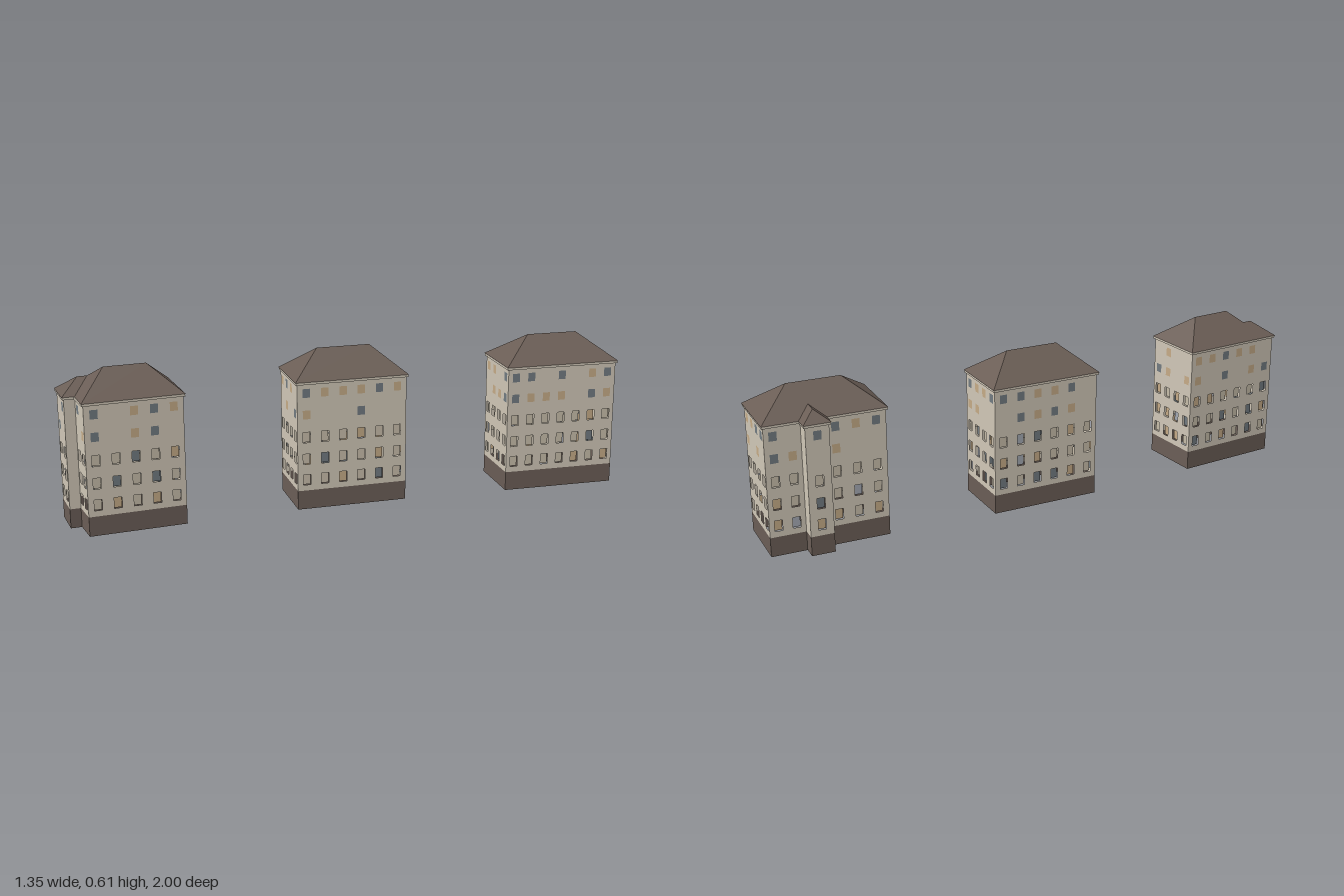
import * as THREE from 'three';
import { mergeGeometries } from 'three/addons/utils/BufferGeometryUtils.js';

const mat = (name, color) => {
  const m = new THREE.MeshStandardMaterial({ color, side: THREE.DoubleSide });
  m.name = name;
  return m;
};

const PLINTH = 0.076, WALL_TOP = 0.504, EAVE = 0.514, PITCH = 0.75, OVERHANG = 0.008;
const WINDOW_WIDTH = 0.03;
// window rows from the ground up: centre height, window height, recess, mix of panes
// pane codes: S slate, T tan, P pale, B beige, . no window
const LOWER_MIX = 'BBBBBTTSSP', UPPER_MIX = 'TTTSSS..';
const ROWS = [
  [0.12, 0.042, 0.008, LOWER_MIX], [0.204, 0.042, 0.008, LOWER_MIX], [0.292, 0.042, 0.008, LOWER_MIX],
  [0.383, 0.035, 0, UPPER_MIX], [0.469, 0.035, 0, UPPER_MIX],
];

function seeded(seed) {
  return () => (seed = (seed * 16807) % 2147483647) / 2147483647;
}

// widen a right-angled footprint by d on every side
function offset(points, d) {
  const n = points.length;
  const normal = (a, b) => {
    const l = Math.hypot(b[0] - a[0], b[1] - a[1]);
    return [-(b[1] - a[1]) / l, (b[0] - a[0]) / l];
  };
  return points.map((p, i) => {
    const a = normal(points[(i + n - 1) % n], p), b = normal(p, points[(i + 1) % n]);
    return [p[0] + d * (a[0] + b[0]), p[1] + d * (a[1] + b[1])];
  });
}

// flat slab over a footprint, from y0 to y1
function slab(points, y0, y1) {
  const shape = new THREE.Shape(points.map(([x, z]) => new THREE.Vector2(x, -z)));
  return new THREE.ExtrudeGeometry(shape, { depth: y1 - y0, bevelEnabled: false })
    .rotateX(-Math.PI / 2).translate(0, y0, 0);
}

// hip roof with the ridge along z; extra lengthens the ridge at both ends
function hipRoof(w, l, extra = 0) {
  const x = w / 2, z = l / 2, h = x * PITCH, r = z - x + extra;
  const A = [-x, 0, z], B = [x, 0, z], C = [x, 0, -z], D = [-x, 0, -z];
  const F = [0, h, r], K = [0, h, -r];
  const faces = [A, B, F, B, C, K, B, K, F, C, D, K, D, A, F, D, F, K];
  const g = new THREE.BufferGeometry();
  g.setAttribute('position', new THREE.Float32BufferAttribute(faces.flat(), 3));
  g.computeVertexNormals();
  return g;
}

function rectShape(path, x, y, w, h) {
  return path.moveTo(x, y).lineTo(x + w, y).lineTo(x + w, y + h).lineTo(x, y + h).closePath();
}

function createBuilding({ footprint, size, ridgeExtra, wing, windows }, mats, random) {
  const group = new THREE.Group();
  const add = (name, geometry, material) => {
    const mesh = new THREE.Mesh(geometry, material);
    mesh.name = name;
    group.add(mesh);
    return mesh;
  };
  const pick = (mix) => mix[Math.floor(random() * mix.length)];
  const walls = [], plinths = [], panes = { S: [], T: [], P: [], B: [] };

  // one wall per footprint edge, pierced by its windows
  footprint.forEach((a, i) => {
    const b = footprint[(i + 1) % footprint.length];
    const dx = b[0] - a[0], dz = b[1] - a[1], length = Math.hypot(dx, dz);
    const place = (g) => g.rotateY(Math.atan2(-dz, dx)).translate(a[0], 0, a[1]);
    const shape = rectShape(new THREE.Shape(), 0, PLINTH, length, WALL_TOP - PLINTH);
    const columns = length < 0.08 ? 0 : Math.round(length / 0.0695);
    for (let c = 0; c < columns; c++) {
      const x = (c + 0.5) * length / columns;
      ROWS.forEach(([y, h, recess, mix], r) => {
        const code = windows[i] ? windows[i][r][c] : pick(mix);
        if (code === '.') return;
        shape.holes.push(rectShape(new THREE.Path(), x - WINDOW_WIDTH / 2, y - h / 2, WINDOW_WIDTH, h));
        panes[code].push(place(new THREE.PlaneGeometry(WINDOW_WIDTH, h).translate(x, y, -recess)));
      });
    }
    walls.push(place(new THREE.ShapeGeometry(shape)));
    plinths.push(place(new THREE.PlaneGeometry(length, PLINTH).translate(length / 2, PLINTH / 2, 0)));
  });
  add('walls', mergeGeometries(walls), mats.wall);
  add('plinth', mergeGeometries(plinths), mats.plinth);
  for (const code in panes) {
    add('windowPanes', mergeGeometries(panes[code]), mats.panes[code]);
  }

  // cornice and roofs
  add('cornice', slab(offset(footprint, OVERHANG - 0.002), WALL_TOP, EAVE), mats.wall);
  const main = hipRoof(size[0] + 2 * OVERHANG, size[1] + 2 * OVERHANG, ridgeExtra);
  add('mainRoof', main, mats.roof).position.y = EAVE;
  if (wing) {
    // the wing roof runs back until its ridge dies into the main slope
    const w = wing.width + 2 * OVERHANG, l = wing.depth + w;
    const roof = add('wingRoof', hipRoof(w, l), mats.roof);
    const inward = (wing.depth - w) / 2 + OVERHANG;
    roof.position.set(wing.x + wing.out[0] * inward, EAVE, wing.z + wing.out[1] * inward);
    roof.rotation.y = Math.atan2(wing.out[0], wing.out[1]);
  }
  return group;
}

export function createModel() {
  const mats = {
    wall: mat('plaster', 0xcfc6b6),
    plinth: mat('plinthStone', 0x6a5d56),
    roof: mat('roofTiles', 0x6a5d55),
    panes: {
      S: mat('slateGlass', 0x717a80), T: mat('tanBlind', 0xc4aa86),
      P: mat('paleGlass', 0xa3a8b2), B: mat('beigeCurtain', 0xc6bca9),
    },
  };
  const random = seeded(4711);
  const model = new THREE.Group();
  model.name = 'apartmentBuildings';

  // windows lists the rows from the ground up, per footprint edge
  const build = (name, w, l, ridgeExtra, x, z, angle, windows, plan) => {
    const { points, wing } = plan(w / 2, l / 2);
    const b = createBuilding({ footprint: points, size: [w, l], ridgeExtra, wing, windows }, mats, random);
    b.name = name;
    b.position.set(x, 0, z);
    b.rotation.y = angle;
    model.add(b);
  };

  // front building with a projecting bay on its front right corner
  const frontWindows = {
    0: ['BS', 'PS', 'PP', 'S.', '.S'],
    2: ['BT', 'ST', 'BB', '.T', 'S.'],
    3: ['BTBTB', 'BSBSB', 'BBSBT', 'S.TS.', 'S.TST'],
  };
  build('frontBuilding', 0.248, 0.375, 0.018, -0.453, 0.76, -0.456, frontWindows, (X, Z) => {
    const w = 0.134, d = 0.048;
    return {
      points: [[-X, Z + d], [-X + w, Z + d], [-X + w, Z + 0.006], [X, Z], [X, -Z], [-X, -Z]],
      wing: { width: w, depth: d, x: -X + w / 2, z: Z, out: [0, 1] },
    };
  });
  // plain middle building
  const middleWindows = {
    0: ['SBBB', 'TSBT', 'PBPT', '.T.S', 'TST.'],
    1: ['BBTBSB', 'BSBBTB', 'BBBTBB', 'T..S..', 'STTTST'],
  };
  build('middleBuilding', 0.252, 0.442, 0.012, -0.046, 0, -0.542, middleWindows, (X, Z) => ({
    points: [[-X, Z], [X, Z], [X, -Z], [-X, -Z]],
  }));
  // rear building with a stair bay on its right side
  const rearWindows = {
    0: ['BBSB', 'PBBB', 'BBBB', '.TTS', 'TT.S'],
    1: ['BBBBTBT', 'BBBBBSB', 'BBBBBTB', 'STTT.ST', 'SS.S.TS'],
  };
  build('rearBuilding', 0.252, 0.46, 0, 0.432, -0.737, -0.576, rearWindows, (X, Z) => {
    const z0 = -Z + 0.137, z1 = z0 + 0.09, d = 0.055;
    return {
      points: [[-X, Z], [X, Z], [X, -Z], [-X, -Z], [-X, z0], [-X - d, z0], [-X - d, z1], [-X, z1]],
      wing: { width: z1 - z0, depth: d, x: -X, z: (z0 + z1) / 2, out: [-1, 0] },
    };
  });
  return model;
}
